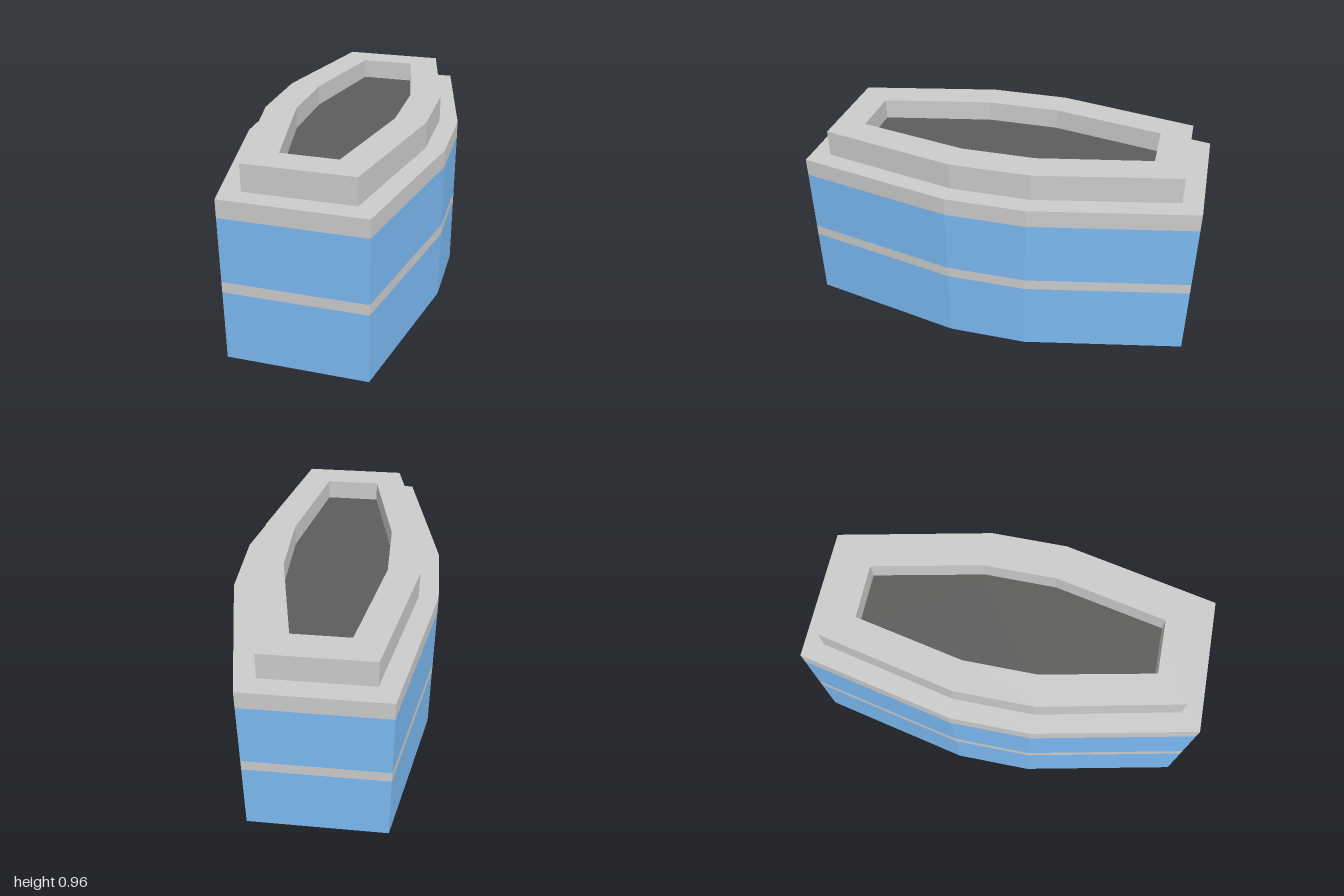
import * as THREE from 'three';

const GREY = 0xcccccc, BLUE = 0x7bb9f2, DARK = 0x5c5e5a;

// Elongated octagon: half-width at the ends and middle, half-length at the ends and middle
function octagon(endX, endZ, midX, midZ) {
  return [
    [endX, endZ], [midX, midZ], [midX, -midZ], [endX, -endZ],
    [-endX, -endZ], [-midX, -midZ], [-midX, midZ], [-endX, endZ],
  ].map(([x, z]) => new THREE.Vector2(x, z));
}

const BODY = octagon(0.345, 1.0, 0.515, 0.2);
const RIM = octagon(0.265, 0.9, 0.417, 0.2);
const OPENING = octagon(0.14, 0.745, 0.257, 0.185);

// Upright wall following an outline, facing outward or inward
function wall(outline, y0, y1, inward = false) {
  const positions = [];
  outline.forEach((a, i) => {
    const b = outline[(i + 1) % outline.length];
    const [p, q] = inward ? [b, a] : [a, b];
    positions.push(
      p.x, y0, p.y, q.x, y0, q.y, q.x, y1, q.y,
      p.x, y0, p.y, q.x, y1, q.y, p.x, y1, p.y,
    );
  });
  const geometry = new THREE.BufferGeometry();
  geometry.setAttribute('position', new THREE.Float32BufferAttribute(positions, 3));
  geometry.computeVertexNormals();
  return geometry;
}

// Flat face at height y, optionally with a hole, facing up or down
function cap(outline, y, hole = null, down = false) {
  const shape = new THREE.Shape(outline);
  if (hole) shape.holes.push(new THREE.Path(hole));
  const geometry = new THREE.ShapeGeometry(shape);
  geometry.rotateX(down ? Math.PI / 2 : -Math.PI / 2);
  return geometry.translate(0, y, 0);
}

export function createModel() {
  const model = new THREE.Group();
  model.name = 'container';

  const add = (name, color, ...geometries) => {
    const part = new THREE.Group();
    part.name = name;
    const material = new THREE.MeshStandardMaterial({ color, flatShading: true });
    geometries.forEach((geometry, i) => {
      const mesh = new THREE.Mesh(geometry, material);
      mesh.name = `${name}Face${i + 1}`;
      part.add(mesh);
    });
    model.add(part);
  };

  // Body: stacked coloured bands on a flat base
  add('base', GREY, cap(BODY, 0, null, true));
  add('lowerPanel', BLUE, wall(BODY, 0, 0.36));
  add('middleStripe', GREY, wall(BODY, 0.36, 0.415));
  add('upperPanel', BLUE, wall(BODY, 0.415, 0.74));
  add('shoulder', GREY, wall(BODY, 0.74, 0.83), cap(BODY, 0.83, RIM));

  // Raised rim around the recessed opening
  add('rim', GREY, wall(RIM, 0.83, 0.965), cap(RIM, 0.965, OPENING), wall(OPENING, 0.86, 0.965, true));
  add('recessFloor', DARK, cap(OPENING, 0.86));

  return model;
}
